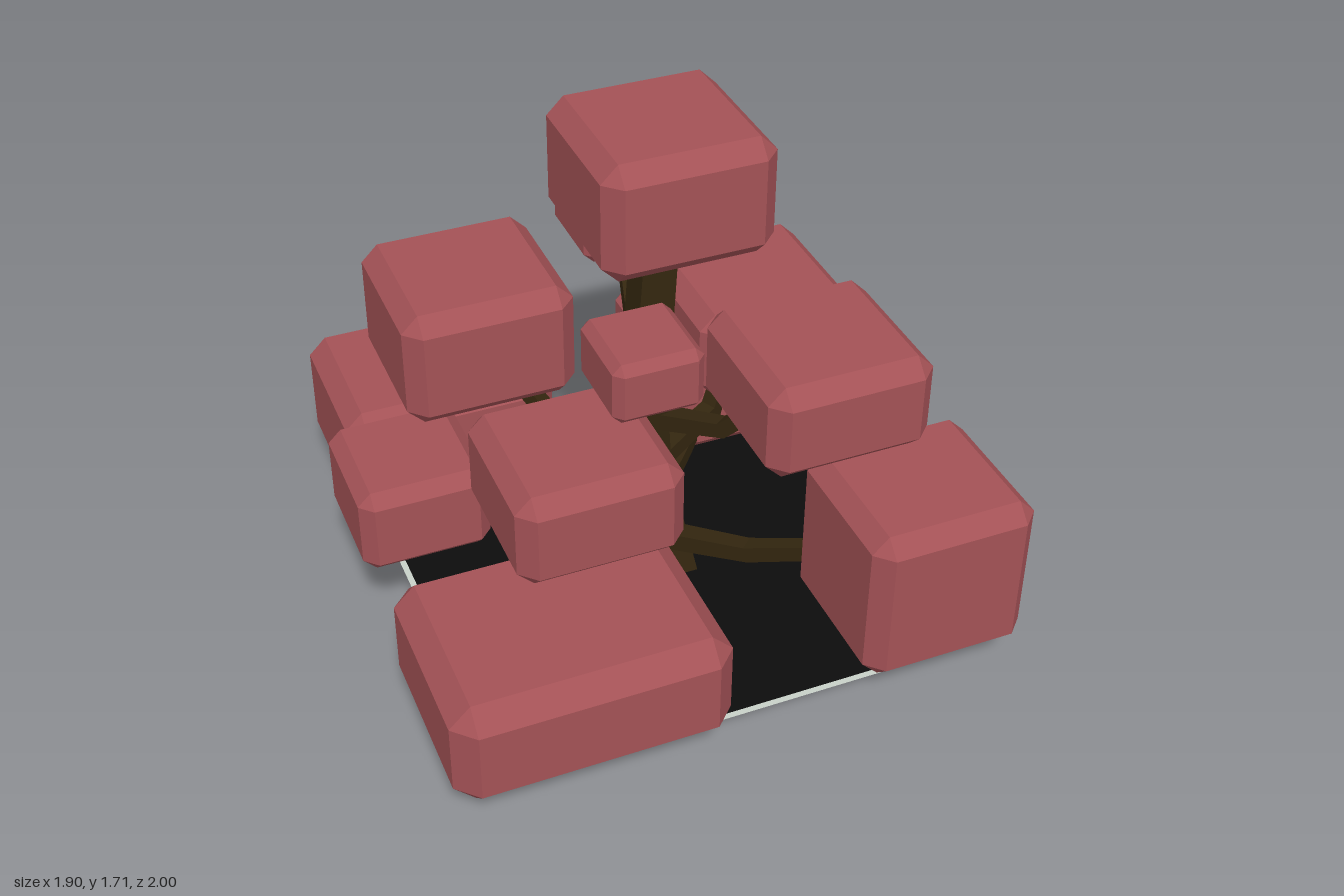
import * as THREE from 'three';
import { ConvexGeometry } from 'three/addons/geometries/ConvexGeometry.js';

const leafRed = new THREE.MeshStandardMaterial({ color: 0xa45256 });
leafRed.name = 'leaf red';
const barkBrown = new THREE.MeshStandardMaterial({ color: 0x33260f });
barkBrown.name = 'bark brown';
const soilBlack = new THREE.MeshStandardMaterial({ color: 0x0d0d0d, side: THREE.DoubleSide });
soilBlack.name = 'soil black';
const rimGrey = new THREE.MeshStandardMaterial({ color: 0xc8d0c8, side: THREE.DoubleSide });
rimGrey.name = 'rim pale grey';

function add(parent, name, geometry, material) {
  const mesh = new THREE.Mesh(geometry, material);
  mesh.name = name;
  parent.add(mesh);
  return mesh;
}

function addGroup(parent, name) {
  const group = new THREE.Group();
  group.name = name;
  parent.add(group);
  return group;
}

// Box with one flat bevel along every edge and a triangle at each corner
function bevelledBox(w, h, d) {
  const b = 0.1 * Math.min(w, d);
  const points = [];
  for (const x of [-1, 1]) for (const y of [-1, 1]) for (const z of [-1, 1]) {
    for (let full = 0; full < 3; full++) {
      const half = [w, h, d].map((s, i) => s / 2 - (i === full ? 0 : b));
      points.push(new THREE.Vector3(x * half[0], y * half[1], z * half[2]));
    }
  }
  return new ConvexGeometry(points);
}

// Joins four-cornered rings into a closed, flat-shaded limb
function loft(rings) {
  const positions = [];
  const quad = (a, b, c, d) => [a, b, c, a, c, d].forEach((p) => positions.push(p.x, p.y, p.z));
  for (let i = 0; i < rings.length - 1; i++) {
    for (let k = 0; k < 4; k++) {
      const n = (k + 1) % 4;
      quad(rings[i][k], rings[i][n], rings[i + 1][n], rings[i + 1][k]);
    }
  }
  const [a, b, c, d] = rings[0];
  quad(d, c, b, a);
  quad(...rings[rings.length - 1]);
  const geometry = new THREE.BufferGeometry();
  geometry.setAttribute('position', new THREE.Float32BufferAttribute(positions, 3));
  geometry.computeVertexNormals();
  return geometry;
}

// Square ring around a centre; u x v points along the limb
function ring(centre, u, v, half) {
  return [[-1, -1], [1, -1], [1, 1], [-1, 1]].map(([s, t]) =>
    centre.clone().addScaledVector(u, s * half).addScaledVector(v, t * half));
}

// Branch that leaves the trunk almost level, bends at the elbow and climbs into its clump
function branchGeometry(height, elbow, target) {
  const start = new THREE.Vector3(0.03, height, 0.03);
  const reach = target.clone().sub(start);
  const along = (out, up) => start.clone().add(reach.clone().multiply(new THREE.Vector3(out, up, out)));
  const points = [start, along(elbow, 0.18), along(0.85, 0.75)];
  const thick = 0.035 - 0.006 * height;
  return loft(points.map((p, i) => {
    const dir = points[Math.min(i + 1, 2)].clone().sub(points[Math.max(i - 1, 0)]).normalize();
    const u = new THREE.Vector3(0, 1, 0).cross(dir).normalize();
    return ring(p, u, dir.clone().cross(u), thick * (1 - 0.15 * i));
  }));
}

// Leaf clump centred at (x, y, z)
function addClump(parent, name, [x, y, z], [w, h, d]) {
  add(parent, name, bevelledBox(w, h, d), leafRed).position.set(x, y, z);
}

// Each limb: clump centre and size, height where its branch starts, elbow position along it
const limbs = [
  { at: [-0.17, 1.18, 0.47], size: [0.28, 0.2, 0.3], height: 1.03, elbow: 0.5 },
  { at: [0.095, 1.17, -0.395], size: [0.33, 0.24, 0.33], height: 0.84, elbow: 0.5 },
  { at: [0.375, 1.01, 0.515], size: [0.53, 0.32, 0.53], height: 0.62, elbow: 0.48 },
  { at: [0.475, 0.795, -0.18], size: [0.53, 0.31, 0.52], height: 0.4, elbow: 0.65 },
  { at: [-0.415, 0.825, -0.43], size: [0.57, 0.41, 0.56], height: 0.4, elbow: 0.5 },
  { at: [-0.37, 0.78, 0.44], size: [0.52, 0.32, 0.52], height: 0.52, elbow: 0.55 },
  { at: [-0.74, 0.47, -0.095], size: [0.42, 0.3, 0.43], height: 0.39, elbow: 0.5 },
  { at: [-0.505, 0.315, 0.665], size: [0.87, 0.37, 0.67], height: 0.24, elbow: 0.36 },
  { at: [0.655, 0.405, 0.7], size: [0.55, 0.55, 0.54], height: 0.13, elbow: 0.4 },
  { at: [-0.485, 0.305, -0.705], size: [0.73, 0.41, 0.59], height: 0.14, elbow: 0.42 },
  { at: [0.615, 0.315, -0.61], size: [0.67, 0.37, 0.68], height: 0.2, elbow: 0.43 },
];

// Ground outline, grown outwards by an edge width
function groundOutline(edge) {
  return [[-0.732, -0.787], [0.812, -0.787], [0.812, 0.732], [-0.732, 0.732]].map(([x, y]) =>
    new THREE.Vector2(x + Math.sign(x) * edge, y + Math.sign(y) * edge));
}

export function createModel() {
  const model = new THREE.Group();
  model.name = 'blockTree';

  // Ground sheet with a narrow pale rim around it
  const soil = groundOutline(0);
  const rim = new THREE.Shape(groundOutline(0.02));
  rim.holes.push(new THREE.Path(soil));
  add(model, 'groundRim', new THREE.ShapeGeometry(rim).rotateX(-Math.PI / 2), rimGrey);
  add(model, 'ground', new THREE.ShapeGeometry(new THREE.Shape(soil)).rotateX(-Math.PI / 2), soilBlack);

  // Trunk: leaning square sections (x, y, z, half width) from root to crown
  const zAxis = new THREE.Vector3(0, 0, 1);
  const xAxis = new THREE.Vector3(1, 0, 0);
  const trunkRings = [
    [0.045, 0.002, 0.015, 0.125], [0.036, 0.3, 0.013, 0.078], [0.03, 0.42, 0.015, 0.066],
    [0.008, 0.72, 0.048, 0.06], [0.06, 1.4, 0.027, 0.056],
  ].map(([x, y, z, half]) => ring(new THREE.Vector3(x, y, z), zAxis, xAxis, half));
  add(model, 'trunk', loft(trunkRings), barkBrown);

  // Branches and leaf clumps
  const branches = addGroup(model, 'branches');
  const foliage = addGroup(model, 'foliage');
  addClump(foliage, 'crownClump', [0.065, 1.515, 0.035], [0.55, 0.39, 0.55]);
  for (const { at, size, height, elbow } of limbs) {
    add(branches, 'branch', branchGeometry(height, elbow, new THREE.Vector3(...at)), barkBrown);
    addClump(foliage, 'leafClump', at, size);
  }

  return model;
}
